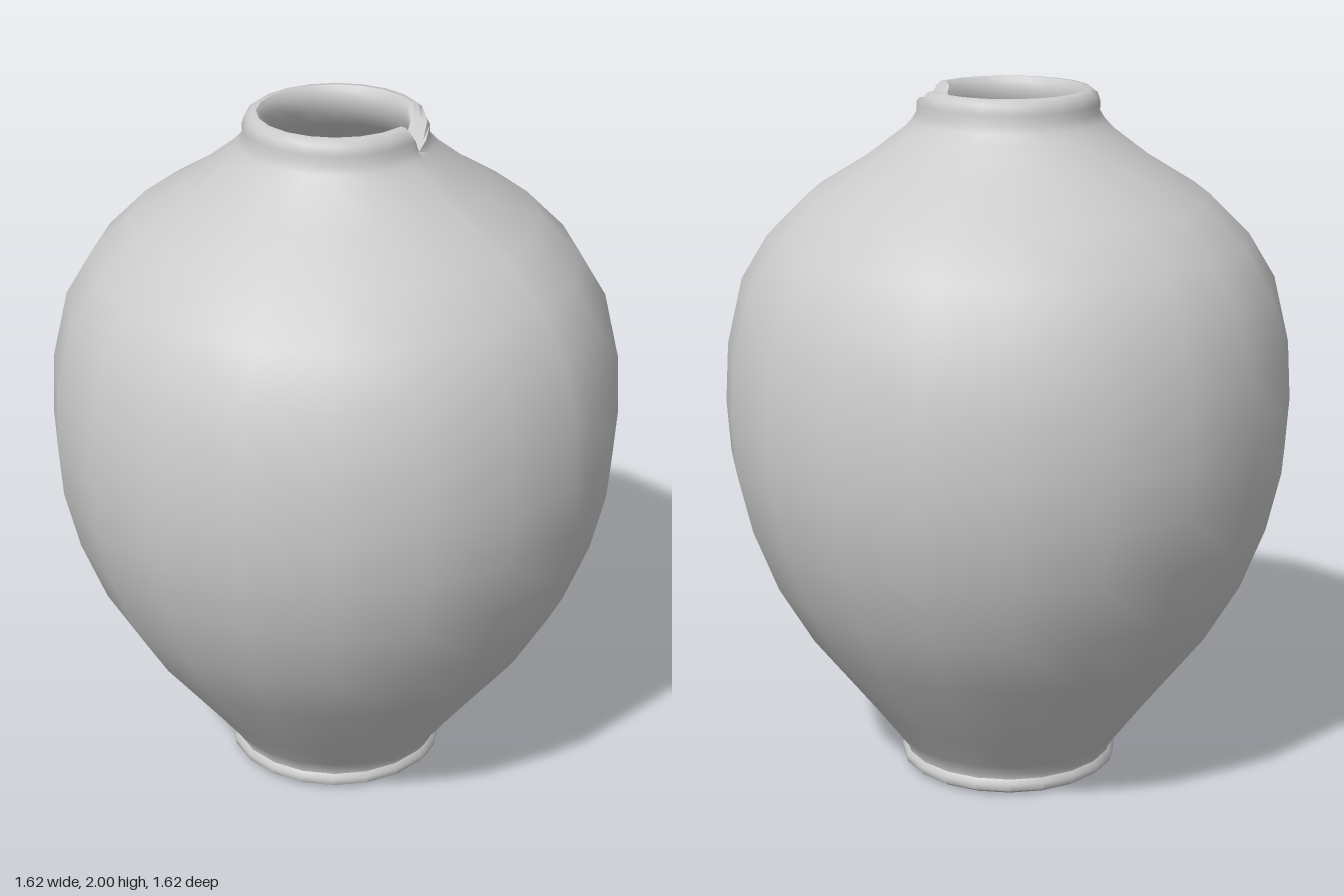
import * as THREE from 'three';
import { toCreasedNormals } from 'three/addons/utils/BufferGeometryUtils.js';

// Height of the broken lip at an angle in degrees, measured from +z towards +x
function lipHeight(a) {
  if (a <= 36 || a >= 90) return 2.01;
  return a < 43 ? THREE.MathUtils.mapLinear(a, 36, 43, 2, 1.925)
    : THREE.MathUtils.mapLinear(a, 43, 90, 1.925, 2);
}

export function createModel() {
  const group = new THREE.Group();
  group.name = 'vase';

  // Outside, from the underside up to the lip
  const outside = [
    [0, 0], [0.3, 0.005], [0.314, 0.015], [0.316, 0.035], [0.305, 0.048], [0.308, 0.062], [0.335, 0.1],
    [0.41, 0.2], [0.59, 0.43], [0.69, 0.6], [0.76, 0.78], [0.8, 0.95], [0.81, 1.1],
    [0.8, 1.27], [0.755, 1.46], [0.68, 1.585], [0.565, 1.7], [0.42, 1.79], [0.295, 1.885],
    [0.27, 1.912], [0.255, 1.935], [0.256, 1.96], [0.248, 1.985], [0.232, 1.998],
  ];
  // Inside, from the lip down to the floor
  const inside = [
    [0.216, 1.999], [0.204, 1.985], [0.199, 1.96], [0.203, 1.93], [0.23, 1.88],
    [0.38, 1.76], [0.53, 1.66], [0.64, 1.55], [0.71, 1.43], [0.755, 1.26], [0.765, 1.1],
    [0.755, 0.95], [0.715, 0.79], [0.645, 0.62], [0.545, 0.45], [0.37, 0.22], [0.27, 0.1], [0, 0.07],
  ];
  const profile = [...outside, ...inside].map(([r, y]) => new THREE.Vector2(r, y));

  // Twenty regular sides, with two extra columns at the chip
  const angles = [39, 43];
  for (let i = 0; i <= 20; i++) angles.push(i * 18);
  angles.sort((a, b) => a - b);

  const geometry = new THREE.LatheGeometry(profile, angles.length - 1);
  const pos = geometry.attributes.position;
  for (let i = 0; i < pos.count; i++) {
    const angle = angles[Math.floor(i / profile.length)];
    const { x: r, y } = profile[i % profile.length];
    const phi = THREE.MathUtils.degToRad(angle % 360);
    // Cut the chip out of the lip
    pos.setXYZ(i, r * Math.sin(phi), Math.min(y, lipHeight(angle)), r * Math.cos(phi));
  }

  const body = new THREE.Mesh(
    toCreasedNormals(geometry, 0.85),
    new THREE.MeshStandardMaterial({ color: 0xcccccc }),
  );
  body.name = 'vaseBody';
  group.add(body);
  return group;
}
